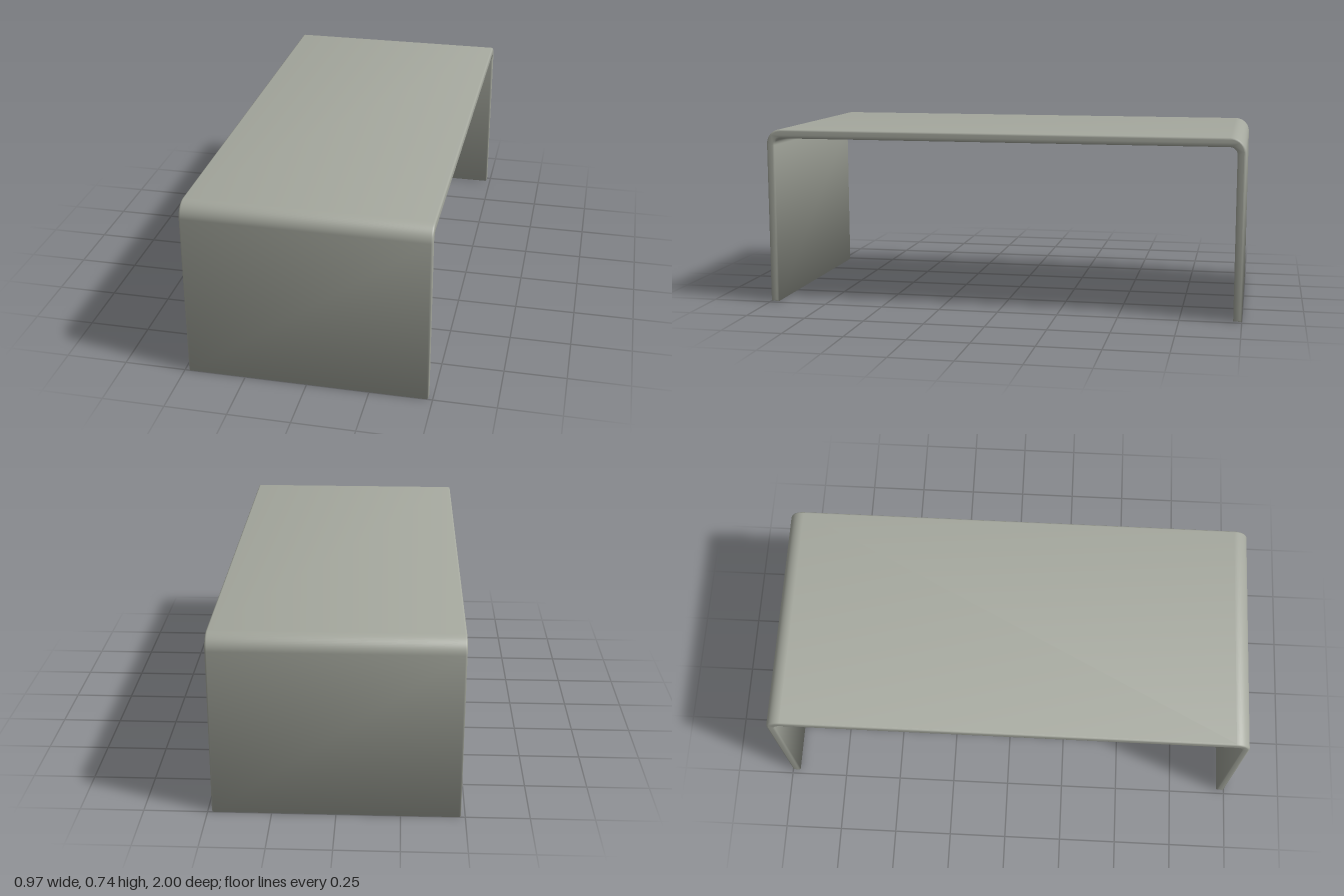
import * as THREE from 'three';
import { mergeVertices } from 'three/addons/utils/BufferGeometryUtils.js';

const WIDTH = 0.968, HEIGHT = 0.743, HALF = 1, LEG_THICK = 0.034, TOP_THICK = 0.038;
const OUTER_R = 0.062, INNER_R = 0.03, BEVEL = 0.008;

// Bent-sheet profile: two legs and a top joined by rounded bends
function bentProfile() {
  const inner = HALF - LEG_THICK, under = HEIGHT - TOP_THICK;
  const s = new THREE.Shape();
  s.moveTo(HALF, 0);
  s.lineTo(HALF, HEIGHT - OUTER_R);
  s.absarc(HALF - OUTER_R, HEIGHT - OUTER_R, OUTER_R, 0, Math.PI / 2, false);
  s.lineTo(-HALF + OUTER_R, HEIGHT);
  s.absarc(-HALF + OUTER_R, HEIGHT - OUTER_R, OUTER_R, Math.PI / 2, Math.PI, false);
  s.lineTo(-HALF, 0);
  s.lineTo(-inner, 0);
  s.lineTo(-inner, under - INNER_R);
  s.absarc(-inner + INNER_R, under - INNER_R, INNER_R, Math.PI, Math.PI / 2, true);
  s.lineTo(inner - INNER_R, under);
  s.absarc(inner - INNER_R, under - INNER_R, INNER_R, Math.PI / 2, 0, true);
  s.lineTo(inner, 0);
  s.closePath();
  return s;
}

// Weld the vertices and average unit face normals for soft shading
function softNormals(geometry) {
  geometry.deleteAttribute('normal');
  geometry.deleteAttribute('uv');
  geometry.clearGroups();
  const g = mergeVertices(geometry, 1e-5);
  const pos = g.attributes.position, index = g.index;
  const sums = Array.from({ length: pos.count }, () => new THREE.Vector3());
  const tri = new THREE.Triangle(), n = new THREE.Vector3();
  for (let i = 0; i < index.count; i += 3) {
    const ids = [0, 1, 2].map((k) => index.getX(i + k));
    tri.setFromAttributeAndIndices(pos, ...ids);
    tri.getNormal(n);
    ids.forEach((id) => sums[id].add(n));
  }
  const normals = sums.flatMap((v) => v.normalize().toArray());
  g.setAttribute('normal', new THREE.Float32BufferAttribute(normals, 3));
  return g;
}

export function createModel() {
  const model = new THREE.Group();
  model.name = 'coffeeTable';

  // Single bent sheet with slightly rounded side edges
  const sheet = new THREE.ExtrudeGeometry(bentProfile(), {
    depth: WIDTH - 2 * BEVEL,
    curveSegments: 8,
    bevelEnabled: true,
    bevelThickness: BEVEL,
    bevelSize: BEVEL,
    bevelOffset: -BEVEL,
    bevelSegments: 3,
  });
  sheet.translate(0, 0, -(WIDTH - 2 * BEVEL) / 2);
  sheet.rotateY(Math.PI / 2);

  // Warm grey-green sheet colour
  const material = new THREE.MeshStandardMaterial({ color: 0xa5a89e });
  const mesh = new THREE.Mesh(softNormals(sheet), material);
  mesh.name = 'bentTableSheet';
  model.add(mesh);
  return model;
}
